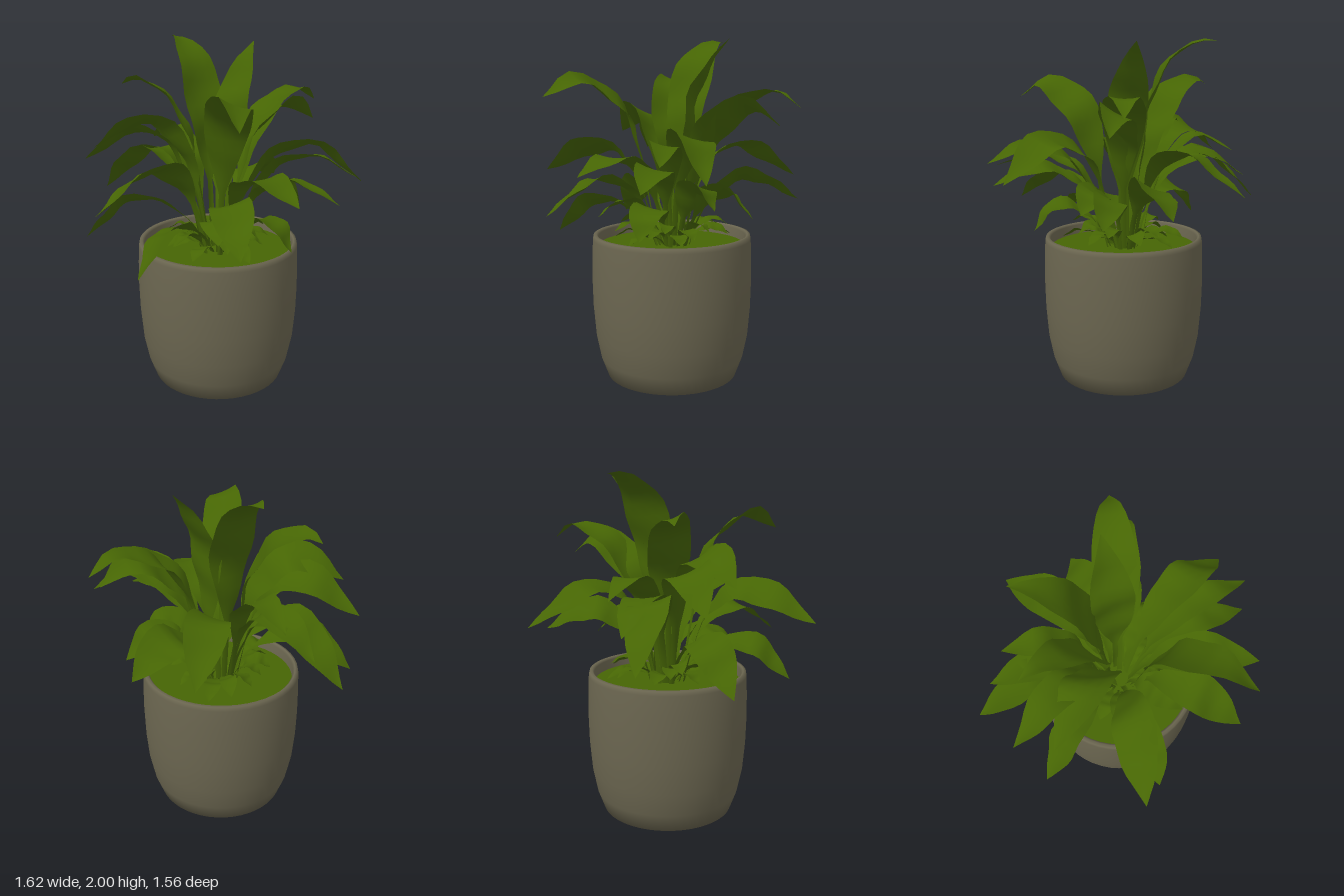
import * as THREE from 'three';

const leafMat = new THREE.MeshStandardMaterial({ color: 0x466504, side: THREE.DoubleSide });
leafMat.name = 'leaf green';
const potMat = new THREE.MeshStandardMaterial({ color: 0x6b6650, side: THREE.DoubleSide });
potMat.name = 'grey brown clay';

const CX = -0.015, CZ = 0.025, SOIL = 0.79;

// Tall upper leaves: tip x, y, z, arch height, where the arch peaks (0..1), width, roll
const UPPER = [
  [-0.36, 1.99, -0.38, 1.98, 0.75, 0.27, -0.15],
  [0.15, 1.98, -0.27, 1.84, 0.68, 0.24, 0],
  [0.21, 1.66, 0.77, 1.75, 0.72, 0.26, 0.4],
  [-0.6, 1.74, -0.08, 1.78, 0.82, 0.26, -0.35],
  [0.5, 1.6, -0.57, 1.69, 0.78, 0.24, 0.1],
];

// Spreading lower leaves: the same without roll
const LOWER = [
  [0.5, 1.5, -0.46, 1.61, 0.74, 0.24],
  [-0.15, 1.17, -0.79, 1.37, 0.5, 0.24],
  [0.25, 1.08, -0.66, 1.2, 0.62, 0.24],
  [0.81, 1.24, 0.03, 1.45, 0.62, 0.25],
  [0.69, 1.19, 0.33, 1.28, 0.65, 0.2],
  [0.77, 1.33, 0.25, 1.42, 0.68, 0.18],
  [0.49, 1.26, 0.62, 1.33, 0.62, 0.24],
  [0.22, 1.02, 0.77, 1.2, 0.6, 0.23],
  [-0.52, 1.2, 0.73, 1.36, 0.55, 0.25],
  [-0.33, 0.84, 0.67, 1.04, 0.66, 0.2],
  [-0.8, 1.04, -0.32, 1.33, 0.58, 0.24],
  [-0.81, 1.31, 0.03, 1.5, 0.55, 0.25],
  [-0.77, 0.88, 0.19, 1.11, 0.62, 0.22],
  [-0.65, 1.2, -0.36, 1.35, 0.6, 0.22],
  [-0.5, 1.36, -0.4, 1.45, 0.68, 0.2],
  [-0.68, 1.43, 0.22, 1.57, 0.6, 0.28],
  [0.44, 0.9, 0.3, 1.05, 0.75, 0.2],
  [0.44, 1.0, -0.33, 1.14, 0.68, 0.2],
  [0.06, 0.98, 0.47, 1.06, 0.7, 0.2],
  [0.42, 1.05, -0.12, 1.16, 0.7, 0.22],
];

// Relative width along a leaf: thin stalk, broad blade, pointed tip
function widthAt(t) {
  const s = Math.max(0, (t - 0.26) / 0.74);
  const blade = Math.sin(Math.PI * Math.pow(s, 1.15));
  return Math.max(blade, 0.13 * Math.min(1, (1 - t) * 8));
}

// An arching, slightly cupped and rippled blade
function makeLeaf([tx, ty, tz, peak, frac, width, ownRoll], seed) {
  const dir = new THREE.Vector3(tx - CX, 0, tz - CZ);
  const reach = dir.length();
  dir.normalize();
  const side = new THREE.Vector3(dir.z, 0, -dir.x);
  const roll = ownRoll ?? 0.38 * dir.x - 0.3 * dir.z;
  const start = 0.05 + 0.025 * (seed % 3);
  const rise = peak - SOIL, run = reach * frac - start, lean = 0.6 - 0.09 * peak;
  const at = (d, y) => new THREE.Vector3(CX + dir.x * d, y, CZ + dir.z * d);
  const path = new THREE.CatmullRomCurve3([
    at(start, SOIL - 0.02),
    at(start + run * lean * 0.38, SOIL + rise * 0.42),
    at(start + run * lean, SOIL + rise * 0.81),
    at(reach * frac, peak),
    at(reach, ty),
  ]);
  const rows = 20, cols = 4, pos = [], index = [];
  for (let i = 0; i <= rows; i++) {
    const t = i / rows;
    const p = path.getPointAt(t), tan = path.getTangentAt(t);
    // Roll grows along the leaf, turning the blade about its own midrib
    const across = side.clone().applyAxisAngle(tan, -roll * Math.min(1, t * 2));
    const up = new THREE.Vector3().crossVectors(tan, across).normalize();
    const half = widthAt(t) * width / 2;
    for (let j = 0; j <= cols; j++) {
      const s = j / cols * 2 - 1;
      const ripple = 0.1 * Math.sin(t * 26 + seed * 2.3 + s * 0.8);
      const v = p.clone().addScaledVector(across, half * s).addScaledVector(up, half * (0.14 * s * s + ripple));
      pos.push(v.x, v.y, v.z);
      if (i < rows && j < cols) {
        const a = i * (cols + 1) + j, b = a + cols + 1;
        index.push(a, a + 1, b, a + 1, b + 1, b);
      }
    }
  }
  const geo = new THREE.BufferGeometry();
  geo.setAttribute('position', new THREE.Float32BufferAttribute(pos, 3));
  geo.setIndex(index);
  geo.computeVertexNormals();
  return new THREE.Mesh(geo, leafMat);
}

// A named group of leaves
function makeLeaves(name, specs) {
  const group = new THREE.Group();
  group.name = name + 's';
  specs.forEach((spec, i) => {
    const leaf = makeLeaf(spec, i);
    leaf.name = name + (i + 1);
    group.add(leaf);
  });
  return group;
}

export function createModel() {
  const model = new THREE.Group();
  model.name = 'pottedPlant';

  // Rounded hollow pot: base, wall, rim and inner wall in one smooth profile
  const pot = new THREE.Mesh(new THREE.LatheGeometry([
    [0, 0], [0.39, 0], [0.43, 0.11], [0.458, 0.25], [0.472, 0.42], [0.476, 0.58], [0.474, 0.72],
    [0.469, 0.83], [0.464, 0.855], [0.448, 0.858], [0.436, 0.845], [0.432, 0.74],
  ].map(([r, y]) => new THREE.Vector2(r, y)), 48), potMat);
  pot.name = 'pot';
  pot.position.set(CX, 0, CZ);
  model.add(pot);

  // Green ground cover inside the pot
  const cover = new THREE.Mesh(new THREE.CircleGeometry(0.433, 48).rotateX(-Math.PI / 2), leafMat);
  cover.name = 'groundCover';
  cover.position.set(CX, SOIL, CZ);
  model.add(cover);

  // Small young leaves lying close to the soil
  const young = Array.from({ length: 18 }, (_, i) => {
    const a = i * 2.4, r = 0.27 + 0.035 * (i % 4), y = 0.83 + 0.035 * (i % 3);
    return [CX + Math.cos(a) * r, y, CZ + Math.sin(a) * r, y + 0.04, 0.75, 0.1, 0.3 * Math.sin(i * 1.7)];
  });

  model.add(makeLeaves('upperLeaf', UPPER), makeLeaves('lowerLeaf', LOWER), makeLeaves('youngLeaf', young));
  return model;
}
